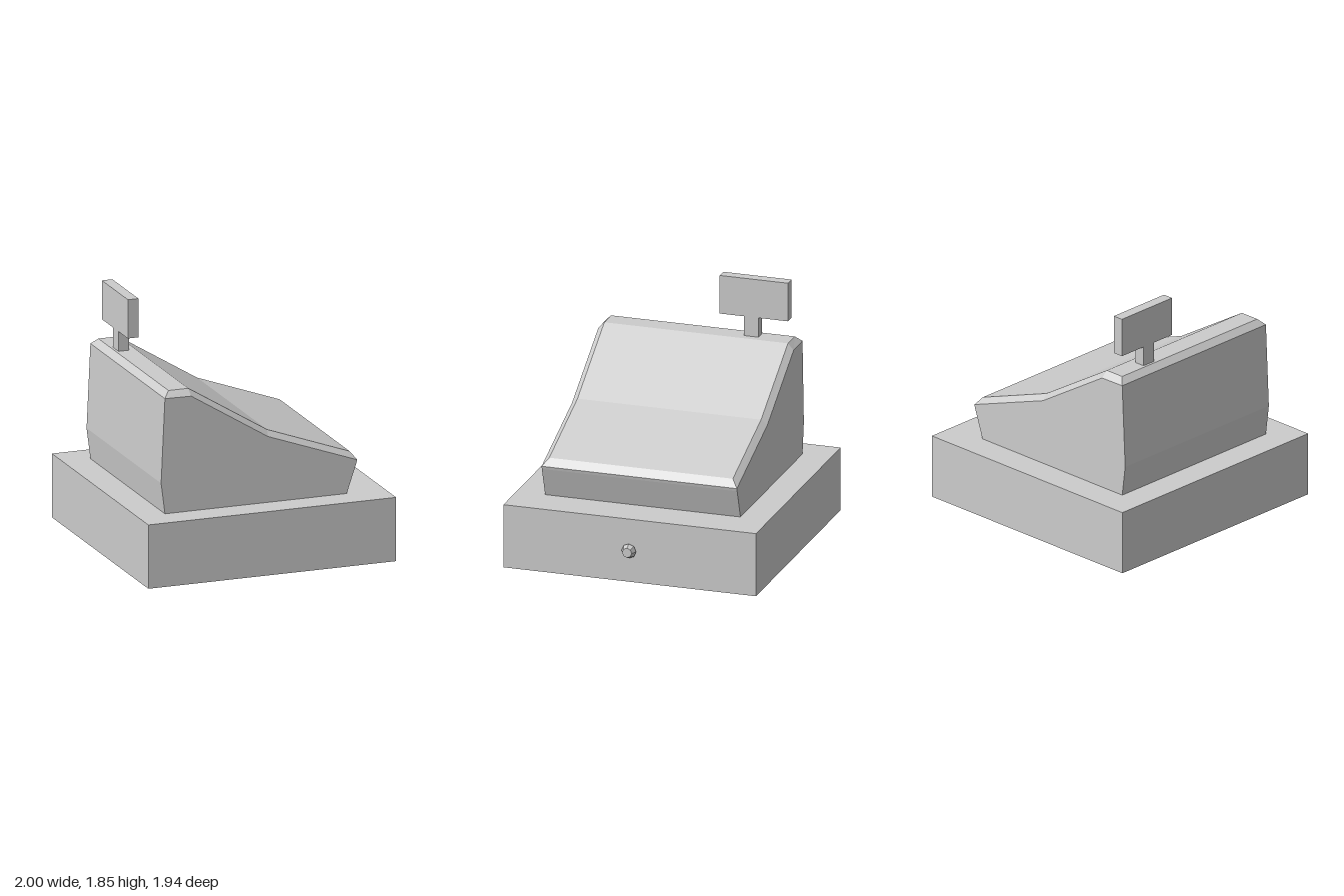
import * as THREE from 'three';

const material = new THREE.MeshStandardMaterial({ color: 0xcccccc, flatShading: true });

function add(group, name, geometry, x = 0, y = 0, z = 0) {
  const mesh = new THREE.Mesh(geometry, material);
  mesh.name = name;
  mesh.position.set(x, y, z);
  group.add(mesh);
  return mesh;
}

// Box given by its minimum and maximum corners
function addBox(group, name, [x0, y0, z0], [x1, y1, z1]) {
  const geometry = new THREE.BoxGeometry(x1 - x0, y1 - y0, z1 - z0);
  return add(group, name, geometry, (x0 + x1) / 2, (y0 + y1) / 2, (z0 + z1) / 2);
}

// Body: stacked rings, each made of four [x, y] stations mirrored in z
function bodyGeometry() {
  const levels = [
    { z: 0.75, pts: [[-0.785, 0.485], [-0.58, 0.485], [0.02, 0.485], [0.635, 0.485]] },
    { z: 0.75, pts: [[-0.815, 0.72], [-0.58, 0.72], [0.02, 0.715], [0.711, 0.71]] },
    { z: 0.75, pts: [[-0.785, 1.36], [-0.58, 1.357], [0.02, 0.985], [0.717, 0.733]] },
    { z: 0.705, pts: [[-0.74, 1.405], [-0.585, 1.405], [0.03, 1.025], [0.675, 0.79]] },
  ];
  const positions = [];
  const index = [];
  const quad = (a, b, c, d) => index.push(a, b, c, a, c, d);
  for (const { z, pts } of levels) {
    for (const [x, y] of pts) positions.push(x, y, z);
    for (const [x, y] of [...pts].reverse()) positions.push(x, y, -z);
  }
  // Walls and the chamfer under the top
  for (let level = 0; level < 3; level++) {
    for (let i = 0; i < 8; i++) {
      const a = level * 8 + i;
      const b = level * 8 + ((i + 1) % 8);
      quad(a, b, b + 8, a + 8);
    }
  }
  // Sloping top and flat underside
  for (let i = 0; i < 3; i++) {
    quad(24 + i, 25 + i, 30 - i, 31 - i);
    quad(i, 7 - i, 6 - i, 1 + i);
  }
  const geometry = new THREE.BufferGeometry();
  geometry.setAttribute('position', new THREE.Float32BufferAttribute(positions, 3));
  geometry.setIndex(index);
  const flat = geometry.toNonIndexed();
  flat.computeVertexNormals();
  return flat;
}

export function createModel() {
  const model = new THREE.Group();
  model.name = 'cashRegister';

  addBox(model, 'drawerBase', [-1, 0, -0.97], [0.935, 0.485, 0.97]);
  add(model, 'body', bodyGeometry());

  // Display sign on its post
  addBox(model, 'signPost', [-0.72, 1.4, -0.46], [-0.64, 1.555, -0.35]);
  addBox(model, 'sign', [-0.72, 1.555, -0.687], [-0.638, 1.85, -0.163]);

  // Eight-sided drawer knob pointing along +x
  const profile = [[0.03, 0], [0.056, 0.02], [0.037, 0.065], [0, 0.065]];
  const knob = new THREE.LatheGeometry(profile.map(([r, h]) => new THREE.Vector2(r, h)), 8);
  knob.rotateZ(-Math.PI / 2);
  add(model, 'drawerKnob', knob, 0.935, 0.245, 0);

  return model;
}
